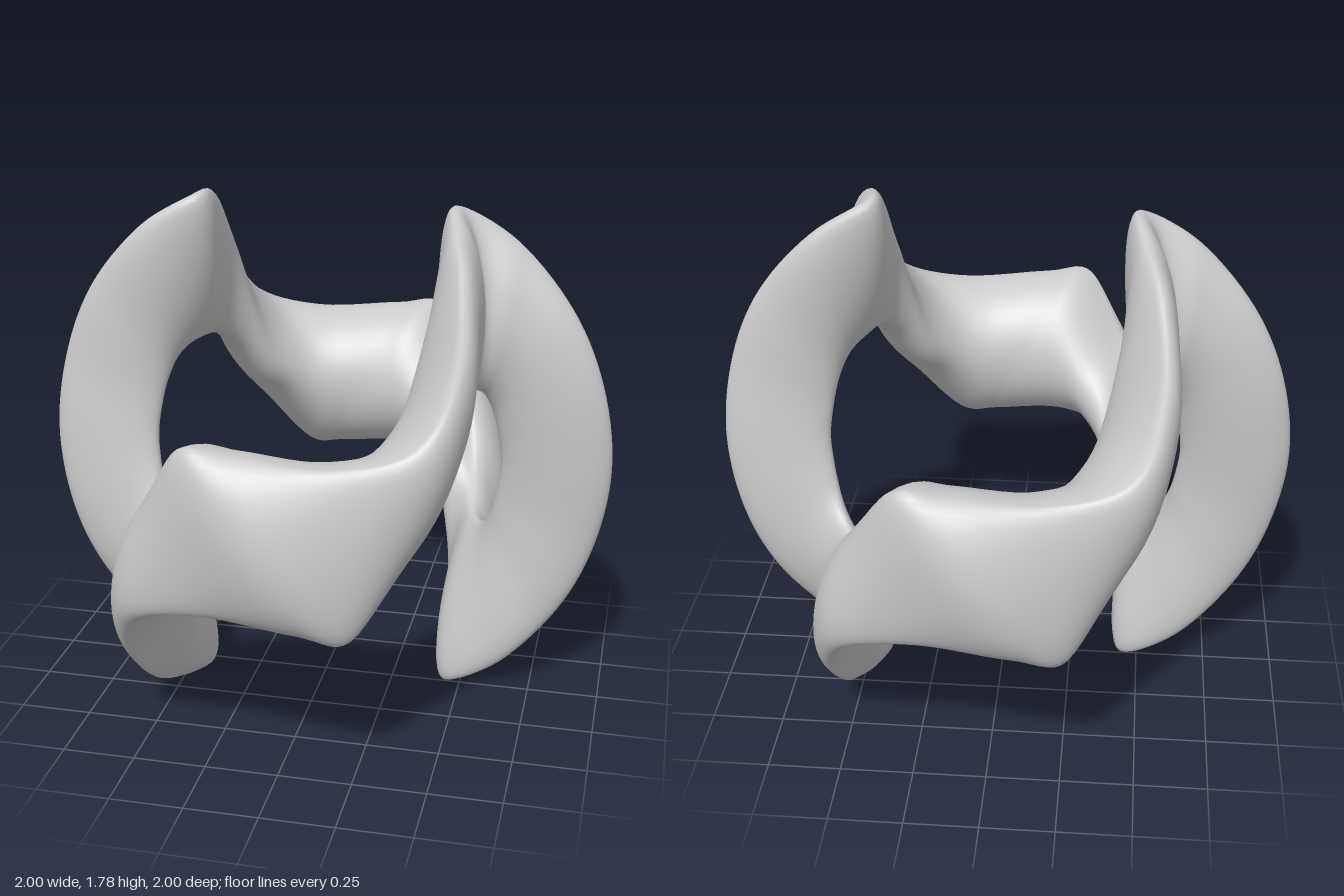
import * as THREE from 'three';

const SIDES = 40;   // points around the band
const STEPS = 280;  // rings along the band

// Quarter of the band: outer edge, inner edge,
// inward crest (a thickness, or a point where the band swells), outward thickness
const KEYS = [
  [[1.0, 0, 0], [0.62, 0, 0], 0.065, 0.065],
  [[0.955, 0.3, 0.015], [0.61, 0.1, 0.02], 0.065, 0.065],
  [[0.84, 0.555, 0.005], [0.59, 0.2, 0.05], 0.07, 0.07],
  [[0.645, 0.77, -0.03], [0.56, 0.28, 0.11], 0.07, 0.085],
  [[0.445, 0.884, 0.0], [0.52, 0.31, 0.2], 0.065, 0.09],
  [[0.465, 0.855, 0.2], [0.48, 0.29, 0.32], 0.06, 0.105],
  [[0.52, 0.755, 0.43], [0.46, 0.2, 0.46], [0.385, 0.45, 0.37], 0.09],
  [[0.54, 0.53, 0.645], [0.43, 0.06, 0.58], [0.325, 0.24, 0.47], 0.09],
  [[0.45, 0.33, 0.81], [0.39, -0.07, 0.7], [0.235, 0.12, 0.555], 0.085],
  [[0.21, 0.265, 0.865], [0.27, -0.295, 0.87], [0.12, 0, 0.605], 0.06],
  [[-0.1, 0.29, 0.87], [0.1, -0.29, 0.87], [0, 0, 0.62], 0.13],
];

const rotX = (p) => new THREE.Vector3(p.x, -p.y, -p.z);
const rotZ = (p) => new THREE.Vector3(-p.x, -p.y, p.z);

// Cross-section rings of one quarter
function quarterRings() {
  const edges = KEYS.map(([a, b]) => [new THREE.Vector3(...a), new THREE.Vector3(...b)]);
  const centres = edges.map(([a, b]) => a.clone().add(b).multiplyScalar(0.5));
  const last = KEYS.length - 1;
  return KEYS.map(([, , crest, outer], i) => {
    const before = i > 0 ? centres[i - 1] : rotX(centres[1]);
    const after = i < last ? centres[i + 1] : rotZ(centres[last - 1]);
    const half = edges[i][0].clone().sub(centres[i]);
    const normal = after.clone().sub(before).cross(half).normalize();
    const inward = Array.isArray(crest)
      ? new THREE.Vector3(...crest).sub(centres[i])
      : normal.clone().multiplyScalar(crest);
    const outward = normal.clone().multiplyScalar(outer);
    return Array.from({ length: SIDES }, (_, j) => {
      const a = (j / SIDES) * Math.PI * 2;
      const s = Math.sin(a);
      return centres[i].clone()
        .addScaledVector(half, Math.cos(a))
        .addScaledVector(s > 0 ? inward : outward, s);
    });
  });
}

// Four half-turned copies of the quarter joined into one closed loop
function loopRings() {
  const q = quarterRings();
  const n = q.length - 1;
  const pick = (ring, j) => ring[((j % SIDES) + SIDES) % SIDES];
  const parts = [
    (i, j) => pick(q[i], j),
    (i, j) => rotZ(pick(q[n - i], SIDES / 2 - j)),
    (i, j) => rotX(rotZ(pick(q[i], j - SIDES / 2))),
    (i, j) => rotX(pick(q[n - i], -j)),
  ];
  const rings = [];
  for (const part of parts) {
    for (let i = 0; i < n; i++) {
      rings.push(Array.from({ length: SIDES }, (_, j) => part(i, j)));
    }
  }
  return rings;
}

function bandGeometry() {
  const rings = loopRings();
  const positions = [];
  const index = [];
  // Smooth closed rail through each matching point of the rings
  const rails = Array.from({ length: SIDES }, (_, j) =>
    new THREE.CatmullRomCurve3(rings.map((r) => r[j]), true, 'catmullrom', 0.5));
  for (let i = 0; i < STEPS; i++) {
    for (let j = 0; j < SIDES; j++) {
      const p = rails[j].getPoint(i / STEPS);
      positions.push(p.x, p.y, p.z);
      const i2 = (i + 1) % STEPS;
      const j2 = (j + 1) % SIDES;
      const a = i * SIDES + j, b = i * SIDES + j2;
      const c = i2 * SIDES + j, d = i2 * SIDES + j2;
      index.push(a, b, c, b, d, c);
    }
  }
  const geometry = new THREE.BufferGeometry();
  geometry.setAttribute('position', new THREE.Float32BufferAttribute(positions, 3));
  geometry.setIndex(index);
  geometry.computeVertexNormals();
  return geometry;
}

export function createModel() {
  const group = new THREE.Group();
  group.name = 'twistedLoopSculpture';
  const band = new THREE.Mesh(bandGeometry(), new THREE.MeshStandardMaterial({ color: 0xcccccc }));
  band.name = 'twistedBand';
  // Stand the loop on the ground
  band.geometry.computeBoundingBox();
  band.position.y = -band.geometry.boundingBox.min.y;
  group.add(band);
  return group;
}
